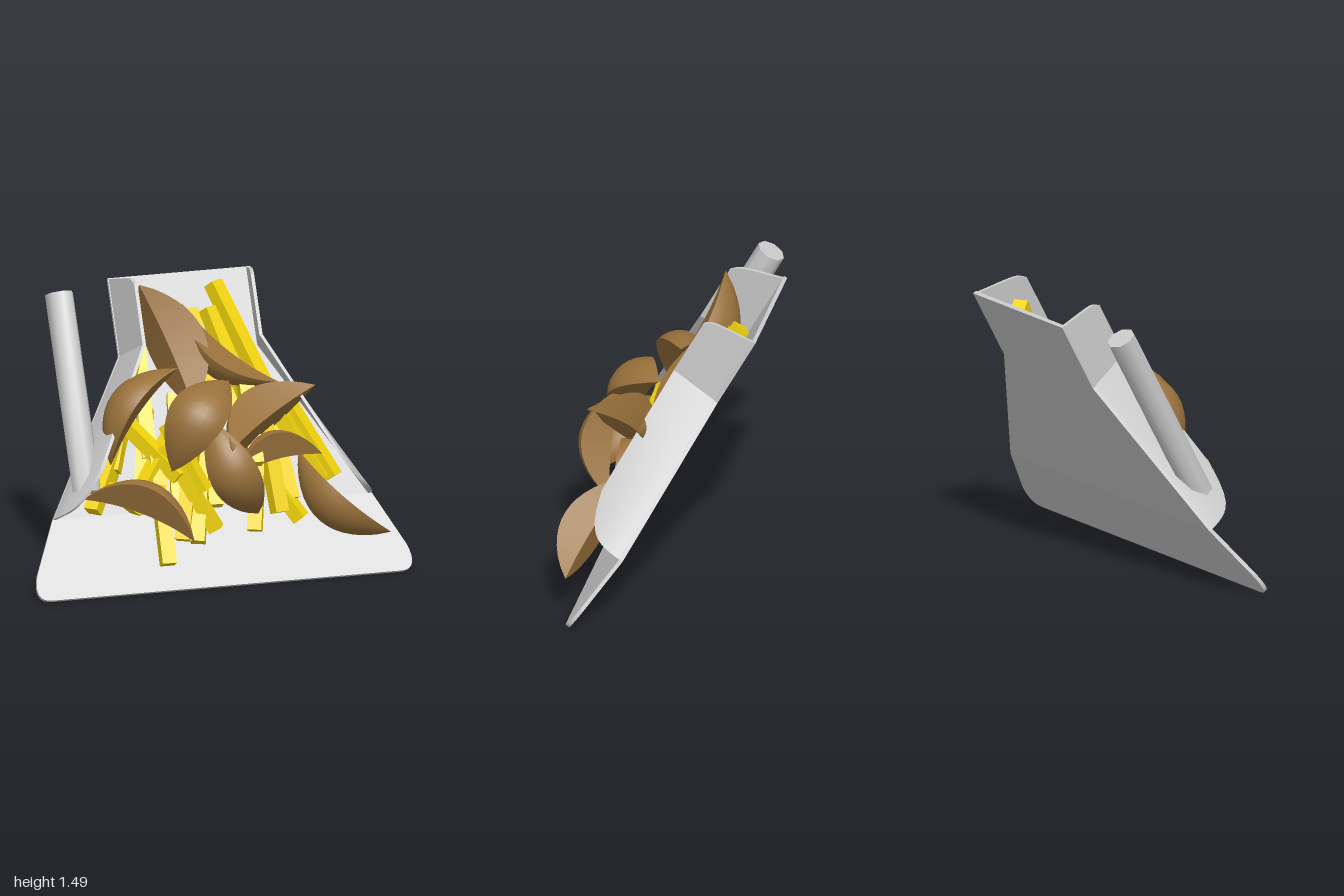
import * as THREE from 'three';
import { toCreasedNormals } from 'three/addons/utils/BufferGeometryUtils.js';

const V = (x, y, z) => new THREE.Vector3(x, y, z);
const steel = new THREE.MeshStandardMaterial({ color: 0xcccccc, side: THREE.DoubleSide });
const fryMat = new THREE.MeshStandardMaterial({ color: 0xf2d40c });
const wedgeMat = new THREE.MeshStandardMaterial({ color: 0x99713b, side: THREE.DoubleSide });

// Skin a row of closed cross-sections, counter-clockwise about the row's axis
function loft(rings, capped, crease) {
  const n = rings[0].length, pos = [];
  const quad = (a, b, c, d) => [a, b, c, a, c, d].forEach(p => pos.push(p.x, p.y, p.z));
  for (let i = 0; i + 1 < rings.length; i++) {
    for (let k = 0; k < n; k++) {
      const m = (k + 1) % n;
      quad(rings[i][k], rings[i][m], rings[i + 1][m], rings[i + 1][k]);
    }
  }
  if (capped) {
    const a = rings[0], b = rings[rings.length - 1];
    for (let k = 0; k < n / 2 - 1; k++) {
      quad(a[k], a[n - 1 - k], a[n - 2 - k], a[k + 1]);
      quad(b[k], b[k + 1], b[n - 2 - k], b[n - 1 - k]);
    }
  }
  const g = new THREE.BufferGeometry();
  g.setAttribute('position', new THREE.Float32BufferAttribute(pos, 3));
  return toCreasedNormals(g, crease);
}

function named(name, geometry, material) {
  const m = new THREE.Mesh(geometry, material);
  m.name = name;
  return m;
}

// Group whose local y runs up a slope and whose local z is the slope's normal
function slopeFrame(name, y, z, dy, dz) {
  const d = V(0, dy, dz).normalize(), x = V(1, 0, 0);
  const g = new THREE.Group();
  g.name = name;
  g.quaternion.setFromRotationMatrix(new THREE.Matrix4().makeBasis(x, d, V().crossVectors(x, d)));
  g.position.set(0, y, z);
  return g;
}

const plate = shape => new THREE.ExtrudeGeometry(shape, { depth: 0.02, bevelEnabled: false, curveSegments: 8 });

// Curved side wall: flares to the front, narrows to a straight neck
const LENGTH = 1.23, NECK = 0.82, HEIGHT = 0.275;
function wallGeometry(side) {
  const steps = 10, rings = [];
  const point = (c, t, thick) => {
    const start = 0.18 * t ** 6, end = LENGTH - 0.06 * t - 0.03 * t ** 12;
    const v = c <= 1 ? start + (NECK - start) * c : NECK + (end - NECK) * (c - 1);
    const f = Math.max(0, 1 - v / NECK);
    const x = 0.38 + 0.47 * f - (0.06 + 0.06 * f) * t ** (1 + 0.8 * f) - thick;
    return V(side * x, v, HEIGHT * t);
  };
  for (const c of [0, 0.2, 0.4, 0.6, 0.8, 1, 1.5, 2]) {
    const ring = [];
    for (let j = 0; j <= steps; j++) ring.push(point(c, j / steps, 0.018));
    for (let j = steps; j >= 0; j--) ring.push(point(c, j / steps, 0));
    rings.push(side > 0 ? ring : ring.reverse());
  }
  return loft(rings, true, 0.45);
}

// Potato wedge: two flat cut faces meeting at a bowed ridge, rounded skin opposite
function wedge(a, b, skin, radius) {
  const A = V(...a), B = V(...b), y = B.clone().sub(A), half = y.length() / 2;
  y.normalize();
  const z = V(...skin).addScaledVector(y, -V(...skin).dot(y)).normalize();
  const x = V().crossVectors(y, z), rings = [];
  for (let i = 0; i <= 14; i++) {
    const s = -0.999 + 1.998 * i / 14, f = 1 - s * s, r = radius * f ** 0.9;
    const ridge = 0.04 * f, ring = [V(0, s * half, ridge)];
    for (let k = 0; k <= 8; k++) {
      const q = -0.85 + 1.7 * k / 8;
      ring.push(V(r * Math.sin(q), s * half, ridge + r * Math.cos(q)));
    }
    rings.push(ring);
  }
  const m = named('potatoWedge', loft(rings, false, 0.6), wedgeMat);
  m.quaternion.setFromRotationMatrix(new THREE.Matrix4().makeBasis(x, y, z));
  m.position.copy(A.add(B).multiplyScalar(0.5));
  return m;
}

// Fry between two points given as x, y and distance in front of the scoop
const floorZ = y => (y > 0.35 ? 0.09 - 0.546 * (y - 0.35) : 0.35 - 0.74 * y);
function fry(x1, y1, h1, x2, y2, h2) {
  const a = V(x1, y1, floorZ(y1) + h1), b = V(x2, y2, floorZ(y2) + h2);
  const m = named('fry', new THREE.BoxGeometry(0.075, 0.07, a.distanceTo(b)), fryMat);
  m.position.copy(a).add(b).multiplyScalar(0.5);
  m.lookAt(b);
  return m;
}

export function createModel() {
  const root = new THREE.Group();
  root.name = 'friesScoop';

  // Tray with floor, walls and handle
  const tray = slopeFrame('tray', 0.35, 0.085, 1.08, -0.59);
  const outline = new THREE.Shape([[-0.85, 0], [0.85, 0], [0.38, NECK], [0.38, LENGTH], [-0.38, LENGTH], [-0.38, NECK]]
    .map(p => new THREE.Vector2(...p)));
  tray.add(named('floor', plate(outline), steel));
  tray.add(named('leftWall', wallGeometry(1), steel), named('rightWall', wallGeometry(-1), steel));
  const handle = named('handle', toCreasedNormals(new THREE.CylinderGeometry(0.075, 0.075, 1.05, 8), 0.9), steel);
  handle.position.set(-0.68, 0.625, 0.127);
  tray.add(handle);
  root.add(tray);

  // Front lip, bent to a shallower slope
  const lip = slopeFrame('lip', 0, 0.345, 0.35, -0.26);
  const s = new THREE.Shape();
  s.moveTo(-0.93, 0);
  s.lineTo(0.93, 0);
  s.quadraticCurveTo(1.03, 0, 0.985, 0.14);
  s.lineTo(0.85, 0.436);
  s.lineTo(-0.85, 0.436);
  s.lineTo(-0.985, 0.14);
  s.quadraticCurveTo(-1.03, 0, -0.93, 0);
  lip.add(named('lipPlate', plate(s), steel));
  root.add(lip);

  // Potato wedges: tip, tip, skin direction, radius
  const wedges = new THREE.Group();
  wedges.name = 'potatoWedges';
  [
    [[-0.30, 1.48, -0.20], [-0.10, 0.90, 0.10], [0.5, -0.2, -0.7], 0.21],
    [[-0.04, 1.33, -0.30], [0.38, 0.97, 0.03], [-0.6, -0.5, 0.1], 0.16],
    [[-0.54, 0.62, 0.10], [-0.15, 1.08, 0.00], [-0.6, 0.4, 0.1], 0.17],
    [[0.10, 1.01, 0.06], [-0.25, 0.60, 0.22], [-0.5, 0.3, 0.8], 0.20],
    [[-0.07, 0.88, 0.27], [0.19, 0.36, 0.29], [-0.15, -0.2, 0.9], 0.17],
    [[0.00, 0.76, 0.46], [0.56, 0.95, 0.07], [-0.4, -0.1, -0.7], 0.18],
    [[0.08, 0.54, 0.24], [0.56, 0.62, 0.20], [-0.1, 0.6, -0.5], 0.15],
    [[0.45, 0.63, 0.14], [0.87, 0.23, 0.38], [-0.45, -0.4, 0.6], 0.17],
    [[-0.71, 0.48, 0.18], [-0.21, 0.30, 0.49], [0.5, 0.8, -0.3], 0.17],
  ].forEach(w => wedges.add(wedge(...w)));
  root.add(wedges);

  // Loose fries on top of the heap
  const fries = new THREE.Group();
  fries.name = 'fries';
  [
    [0.15, 1.40, 0.10, 0.34, 0.90, 0.14], [0.00, 1.29, 0.11, 0.06, 0.75, 0.12],
    [0.11, 1.28, 0.08, 0.24, 0.80, 0.10], [-0.28, 1.12, 0.04, -0.32, 0.62, 0.10],
    [-0.33, 1.06, 0.08, -0.52, 0.58, 0.10], [-0.66, 0.41, 0.12, -0.39, 0.86, 0.10],
    [-0.56, 0.50, 0.07, -0.34, 0.96, 0.07], [-0.31, 0.15, 0.12, -0.30, 0.66, 0.17],
    [-0.20, 0.24, 0.08, -0.10, 0.66, 0.16], [-0.13, 0.23, 0.10, -0.02, 0.70, 0.12],
    [-0.02, 0.28, 0.10, -0.26, 0.72, 0.24], [0.18, 0.26, 0.10, 0.26, 0.72, 0.18],
    [0.32, 0.34, 0.14, 0.28, 0.80, 0.22], [0.44, 0.29, 0.08, 0.22, 0.62, 0.12],
    [0.64, 0.47, 0.10, 0.42, 0.88, 0.12], [0.58, 0.47, 0.10, 0.38, 0.80, 0.18],
    [-0.08, 0.48, 0.20, -0.24, 0.82, 0.26], [-0.46, 0.40, 0.14, -0.22, 0.74, 0.20],
    [0.22, 1.02, 0.20, 0.20, 0.60, 0.26], [-0.46, 0.84, 0.14, -0.20, 0.56, 0.22],
    [-0.58, 0.52, 0.20, -0.30, 0.50, 0.26],
  ].forEach(f => fries.add(fry(...f)));

  // Bottom layer, fanned out across the floor
  for (let i = -2; i <= 2; i++) {
    fries.add(fry(0.2 * i, 0.38 + 0.03 * (i % 2), 0.09, 0.16 * i + 0.03, 0.92 - 0.02 * i * i, 0.07));
  }
  root.add(fries);
  return root;
}
